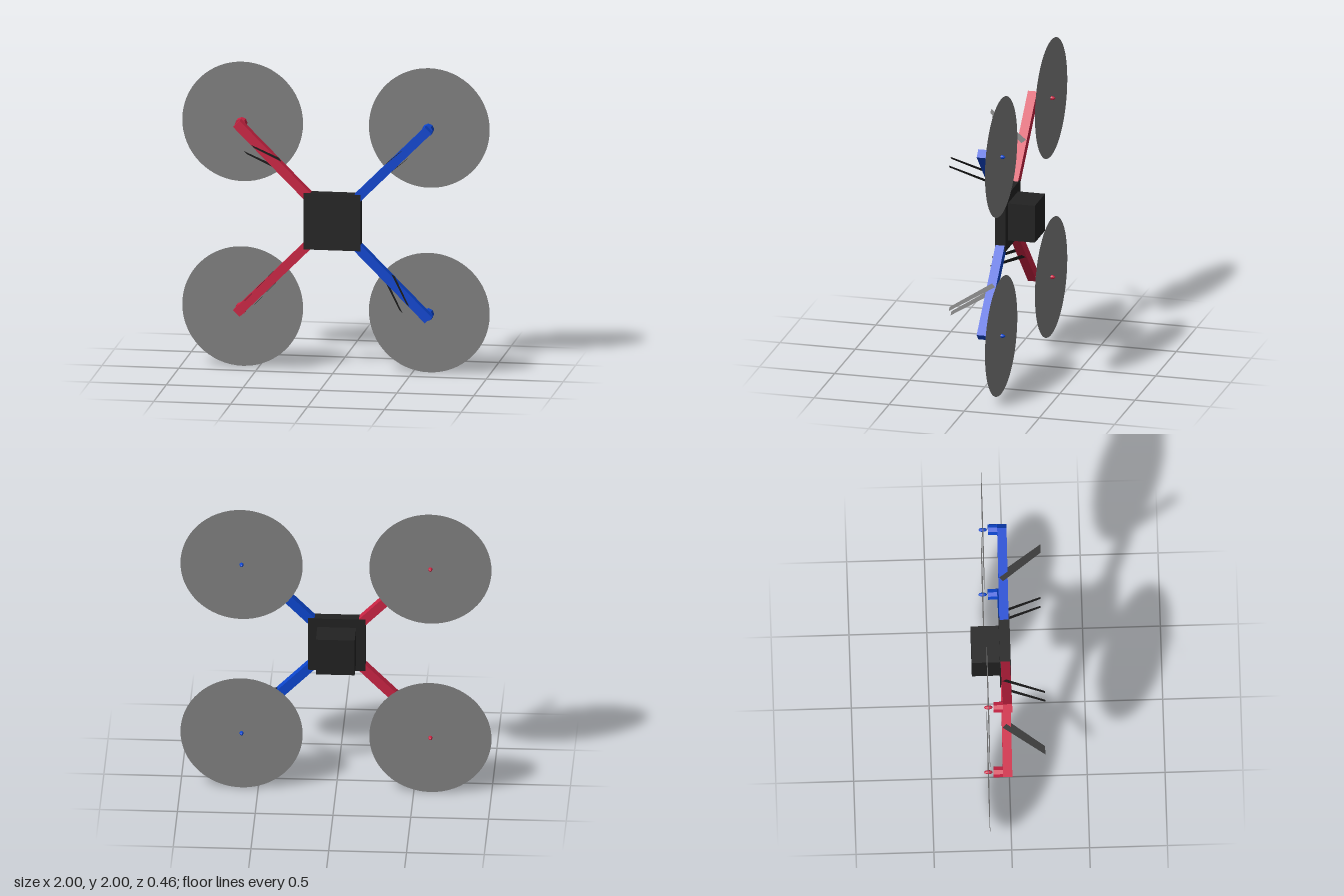
import * as THREE from 'three';

const mat = (color, extra = {}) => new THREE.MeshStandardMaterial({ color, ...extra });

function add(parent, name, geometry, material, x = 0, y = 0, z = 0) {
  const mesh = new THREE.Mesh(geometry, material);
  mesh.name = name;
  mesh.position.set(x, y, z);
  parent.add(mesh);
  return mesh;
}

export function createModel() {
  const model = new THREE.Group();
  model.name = 'quadcopter';

  const dark = mat(0x222222);
  const darkSheet = mat(0x222222, { side: THREE.DoubleSide });
  const discGrey = mat(0x808080, { side: THREE.DoubleSide });
  const red = mat(0xcc2444, { flatShading: true });
  const blue = mat(0x0d47d1, { flatShading: true });

  const reach = 0.607 * Math.SQRT2; // hub to motor axis
  const armEnd = 0.882;
  const armWidth = 0.06;

  // Hub: flat plate with the electronics box on its back
  add(model, 'hubPlate', new THREE.BoxGeometry(0.37, 0.37, 0.07), dark, 0, 1, -0.015);
  add(model, 'electronicsBox', new THREE.BoxGeometry(0.25, 0.25, 0.182), dark, 0, 1, -0.139);

  // Tapered landing strut, a thin sheet lying along the arm's side
  const strut = new THREE.ShapeGeometry(new THREE.Shape([
    new THREE.Vector2(0.506, -0.015),
    new THREE.Vector2(0.532, -0.04),
    new THREE.Vector2(0.73, 0.23),
    new THREE.Vector2(0.7, 0.23),
  ]));
  strut.rotateX(Math.PI / 2); // shape y becomes z

  const armGeometry = new THREE.BoxGeometry(armEnd, armWidth, 0.06);
  const motorGeometry = new THREE.CylinderGeometry(0.037, 0.037, 0.06, 8).rotateX(Math.PI / 2);
  const spinnerGeometry = new THREE.SphereGeometry(1, 12, 8).scale(0.013, 0.013, 0.028);
  const discGeometry = new THREE.CircleGeometry(0.393, 64);

  // Four diagonal arms, each built along +x and turned into place
  for (let i = 0; i < 4; i++) {
    const color = i === 0 || i === 3 ? blue : red;
    const arm = new THREE.Group();
    arm.name = 'rotorArm' + (i + 1);
    arm.position.y = 1;
    arm.rotation.z = Math.PI / 4 + i * Math.PI / 2;

    add(arm, 'armBeam', armGeometry, color, armEnd / 2, 0, -0.015);
    add(arm, 'motor', motorGeometry, color, reach, 0, -0.075);
    add(arm, 'spinner', spinnerGeometry, color, reach, 0, -0.138);
    add(arm, 'rotorDisc', discGeometry, discGrey, reach, 0, -0.138);
    for (const side of [-1, 1]) {
      add(arm, 'landingStrut', strut, darkSheet, 0, side * (armWidth / 2 + 0.001), 0);
    }
    model.add(arm);
  }
  return model;
}
